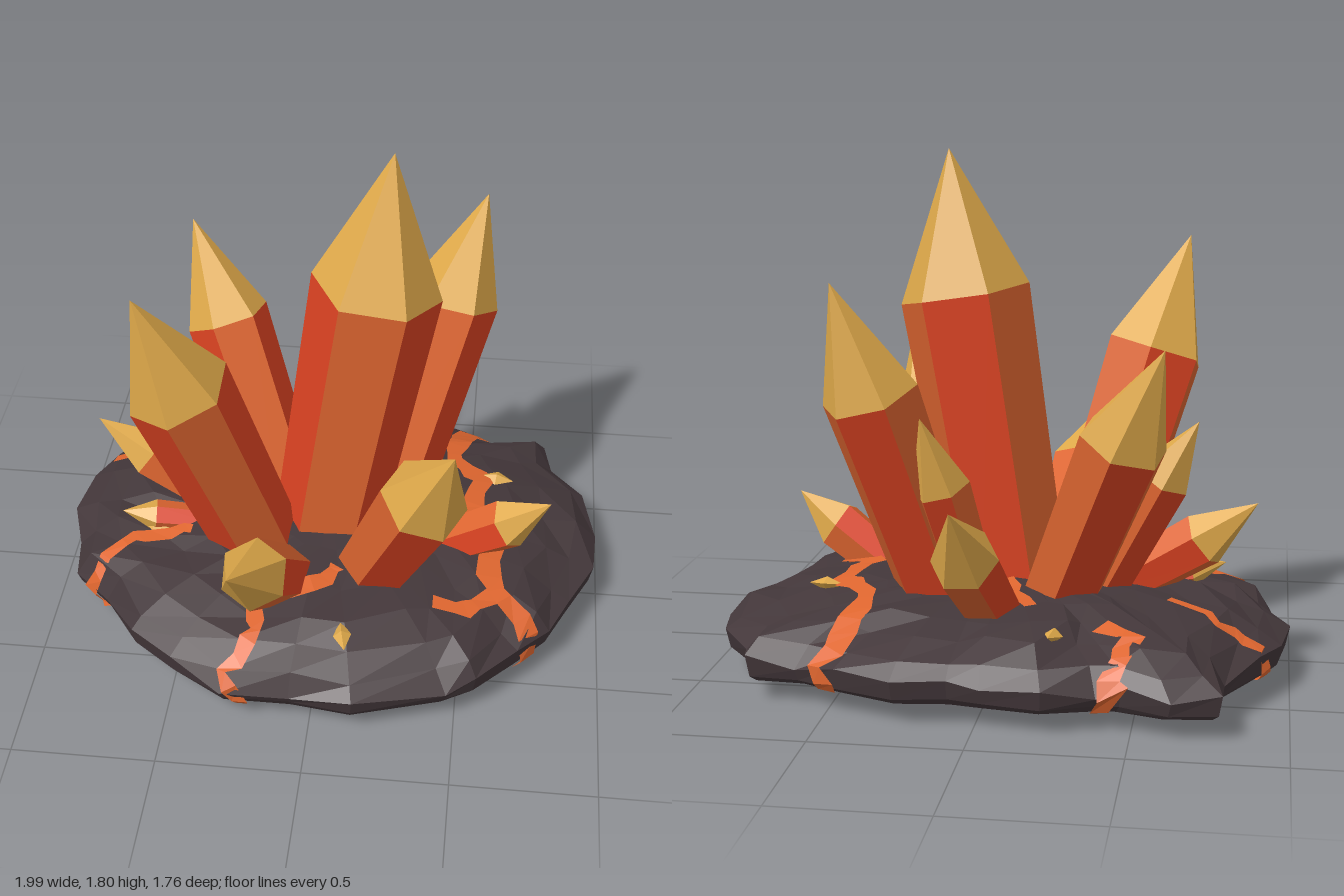
import * as THREE from 'three';

const V = (x, y, z) => new THREE.Vector3(x, y, z);
const mat = (name, color) => {
  const m = new THREE.MeshStandardMaterial({ color });
  m.name = name;
  return m;
};

// Small seeded random in -1..1
let seed = 7;
const rnd = () => {
  seed = (seed * 16807) % 2147483647;
  return (seed / 2147483647) * 2 - 1;
};

// Unshared triangles give faceted normals
function facets(name, points, material) {
  const g = new THREE.BufferGeometry().setFromPoints(points);
  g.computeVertexNormals();
  const mesh = new THREE.Mesh(g, material);
  mesh.name = name;
  return mesh;
}

// Rim of the rock seen from above (x, z)
const RIM = [[-.79, -.83], [-.63, -.85], [-.47, -.8], [-.39, -.81], [-.22, -.86], [-.02, -.83], [.09, -.81],
  [.27, -.83], [.47, -.75], [.62, -.68], [.79, -.67], [.82, -.55], [.94, -.39], [.99, -.17], [.98, .03],
  [.89, .22], [.82, .38], [.71, .5], [.57, .65], [.47, .71], [.15, .81], [-.07, .78], [-.31, .78],
  [-.5, .66], [-.66, .54], [-.79, .35], [-.93, .22], [-.95, .06], [-1, -.1], [-.97, -.31], [-.9, -.45], [-.79, -.66]];
const N = RIM.length;
// Rock rings from the crown to the underside: position, radius, height, roughness
const RINGS = [[0, 0, .335, 0], [.25, .25, .325, .008], [.5, .5, .308, .012], [.68, .68, .285, .014],
  [.82, .82, .25, .016], [.93, .93, .205, .018], [1, 1, .14, .025], [1.06, .985, .09, .008], [1.1, .96, .066, 0]];

const grid = RINGS.map(([, r, y, j]) => RIM.map(([x, z]) => {
  const s = r + (r > .2 && r < .95 ? rnd() * .025 : 0);
  return V(x * s, y + rnd() * j, z * s);
}));

// Point on the rock for a plan position; beyond the rim it wraps down the side
function onRock(x, z) {
  const cross = (p) => p[0] * z - p[1] * x;
  for (let i = 0; i < N; i++) {
    const k = (i + 1) % N, a = cross(RIM[i]), b = cross(RIM[k]);
    if (a < 0 || b >= 0 || RIM[i][0] * x + RIM[i][1] * z < 0) continue;
    const f = a / (a - b);
    const R = Math.hypot(RIM[i][0] * (1 - f) + RIM[k][0] * f, RIM[i][1] * (1 - f) + RIM[k][1] * f);
    const t = Math.min(Math.hypot(x, z) / R, 1.0999);
    const j = RINGS.findIndex((q) => q[0] > t) - 1;
    const h = (t - RINGS[j][0]) / (RINGS[j + 1][0] - RINGS[j][0]);
    const p = grid[j][i].clone().lerp(grid[j][k], f).lerp(grid[j + 1][i].clone().lerp(grid[j + 1][k], f), h);
    const side = THREE.MathUtils.smoothstep(t, .8, 1);
    return p.add(V(x, 0, z).normalize().multiplyScalar(.014 * side)).add(V(0, .012 * (1 - side), 0));
  }
  return V(x, .33, z);
}

// Jagged ribbon along a plan path, laid on a surface
function crack(name, path, width, place, material) {
  const pts = [];
  path.forEach((p, i) => {
    pts.push(p);
    const q = path[i + 1];
    if (!q) return;
    const n = Math.max(2, Math.round(Math.hypot(q[0] - p[0], q[1] - p[1]) / .06));
    for (let k = 1; k < n; k++) {
      const f = k / n;
      pts.push([p[0] + (q[0] - p[0]) * f + rnd() * .022, p[1] + (q[1] - p[1]) * f + rnd() * .022]);
    }
  });
  const sides = pts.map((p, i) => {
    const a = pts[Math.max(i - 1, 0)], b = pts[Math.min(i + 1, pts.length - 1)];
    const dx = b[0] - a[0], dz = b[1] - a[1], l = Math.hypot(dx, dz) || 1;
    const w = width * (.5 + rnd() * .15);
    return [1, -1].map((s) => place(p[0] - dz / l * w * s, p[1] + dx / l * w * s));
  });
  const tri = [];
  for (let i = 0; i + 1 < sides.length; i++) {
    const [a, b] = sides[i], [c, d] = sides[i + 1];
    tri.push(a, c, b, b, c, d);
  }
  return facets(name, tri, material);
}

// Six-sided crystal with alternating face colours and a pointed tip
function crystal(name, base, shoulder, tip, radius, twist, m) {
  const B = V(...base), S = V(...shoulder), T = V(...tip);
  const axis = S.clone().sub(B).normalize();
  B.addScaledVector(axis, -.06);
  const e1 = V(1, 0, 0).addScaledVector(axis, -axis.x).normalize();
  const e2 = axis.clone().cross(e1);
  const ring = (c, r, wob) => Array.from({ length: 6 }, (_, i) => {
    const a = i * Math.PI / 3 + twist;
    return c.clone().addScaledVector(e1, Math.cos(a) * r).addScaledVector(e2, Math.sin(a) * r)
      .addScaledVector(axis, wob * rnd());
  });
  const lo = ring(B, radius * .86, 0), hi = ring(S, radius, radius * .1);
  const faces = [[], []], point = [];
  for (let i = 0; i < 6; i++) {
    const k = (i + 1) % 6;
    faces[i % 2].push(lo[i], lo[k], hi[k], lo[i], hi[k], hi[i]);
    point.push(hi[i], hi[k], T);
  }
  const g = new THREE.Group();
  g.name = name;
  g.add(facets('orangeFaces', faces[0], m.orange), facets('redFaces', faces[1], m.red), facets('goldTip', point, m.gold));
  return g;
}

export function createModel() {
  const m = {
    rock: mat('dark rock', 0x43373a), orange: mat('orange crystal', 0xdd6530),
    red: mat('red crystal', 0xdc4322), gold: mat('gold tip', 0xdfa94a), lava: mat('glowing crack', 0xdf662f),
  };
  m.lava.side = THREE.DoubleSide;
  const model = new THREE.Group();
  model.name = 'crystalCluster';

  // Rock dome with a flat underside
  const rock = [];
  for (let i = 0; i < N; i++) {
    const k = (i + 1) % N;
    for (let j = 0; j + 1 < grid.length; j++) {
      const a = grid[j][i], b = grid[j + 1][i], c = grid[j + 1][k], d = grid[j][k];
      rock.push(a, c, b);
      if (j > 0) rock.push(a, d, c);
    }
    rock.push(grid.at(-1)[i], grid.at(-1)[k], V(0, .066, 0));
  }
  model.add(facets('rockBase', rock, m.rock));

  // Crystals: base, shoulder centre, tip, radius, twist
  [
    ['centralCrystal', [-.02, .22, -.04], [.15, 1.29, -.04], [.2, 1.8, -.07], .23, 0],
    ['frontLeftCrystal', [-.26, .25, .1], [-.49, 1.05, .29], [-.61, 1.47, .39], .185, .5],
    ['backRightCrystal', [.2, .25, -.22], [.4, 1, -.45], [.51, 1.39, -.55], .17, 0],
    ['frontRightCrystal', [.17, .25, .22], [.36, .8, .48], [.46, 1.1, .63], .155, 1.05],
    ['backLeftCrystal', [-.2, .25, -.2], [-.44, .87, -.44], [-.58, 1.2, -.58], .155, .3],
    ['frontCrystal', [-.14, .26, .3], [-.2, .55, .63], [-.25, .74, .88], .125, .5],
    ['backCrystal', [0, .25, -.36], [.05, .52, -.68], [.065, .72, -.88], .115, 1.05],
    ['leftCrystal', [-.35, .25, -.07], [-.69, .46, -.1], [-.88, .6, -.11], .1, 0],
    ['leftUprightCrystal', [-.33, .25, -.12], [-.56, .71, -.25], [-.68, .92, -.31], .1, .5],
    ['rightCrystal', [.42, .25, .06], [.65, .41, .11], [.8, .53, .13], .095, .5],
    ['backSmallCrystal', [.08, .25, -.25], [.17, .7, -.42], [.22, .95, -.54], .1, 0],
    ['leftLowCrystal', [-.45, .27, .04], [-.65, .3, .07], [-.77, .33, .09], .06, .5],
  ].forEach(([name, b, s, t, r, w]) => model.add(crystal(name, b, s, t, r, w, m)));

  // Cracks over the top, running down the side at the rim
  [
    [.075, [[.58, -.82], [.47, -.62], [.44, -.42], [.55, -.24], [.5, -.06], [.62, .12], [.62, .32], [.83, .54]]],
    [.06, [[.62, .34], [.52, .43], [.4, .42]]],
    [.07, [[-.48, -.94], [-.42, -.78], [-.49, -.64], [-.38, -.58]]],
    [.055, [[-1.06, -.44], [-.9, -.4], [-.75, -.4], [-.6, -.3]]],
    [.05, [[-.95, .34], [-.82, .28], [-.72, .16], [-.5, .14]]],
    [.05, [[-.27, .88], [-.3, .72], [-.2, .6], [-.22, .48], [.02, .38], [.05, .3]]],
    [.06, [[-.14, -.47], [-.06, -.36], [-.02, -.24]]],
  ].forEach(([w, path], i) => model.add(crack('topCrack' + (i + 1), path, w, onRock, m.lava)));

  // Cracks across the underside
  const below = (x, z) => V(x, .061, z);
  [
    [[.28, -.36], [.36, -.5], [.46, -.58], [.52, -.69]],
    [[.36, .2], [.5, .26], [.58, .4], [.7, .45]],
    [[-.22, -.38], [-.3, -.55], [-.34, -.66], [-.4, -.76]],
    [[-.4, -.15], [-.58, -.25], [-.7, -.24], [-.9, -.37]],
    [[-.38, .14], [-.55, .14], [-.66, .26], [-.82, .3]],
    [[-.12, .32], [-.2, .48], [-.16, .6], [-.26, .73]],
    [[-.3, -.55], [-.5, -.5], [-.58, -.25]],
    [[.36, -.5], [.56, -.36], [.72, -.34]],
  ].forEach((path, i) => model.add(crack('undersideCrack' + (i + 1), path, .05, below, m.lava)));

  // Jagged ring of shards under the rock
  const n = 22, shards = [[], []];
  const loops = Array.from({ length: n }, (_, i) => {
    const a = i / n * Math.PI * 2;
    return [[.33, .07], [.385 + rnd() * .03, .026 + rnd() * .026], [.45 + rnd() * .03, .07]]
      .map(([r, y]) => V(Math.cos(a) * r, y, Math.sin(a) * r * .95 - .05));
  });
  loops.forEach((p, i) => {
    const q = loops[(i + 1) % n];
    for (let j = 0; j < 2; j++) {
      shards[(i + j) % 2].push(p[j], p[j + 1], q[j + 1], p[j], q[j + 1], q[j]);
    }
  });
  const ring = new THREE.Group();
  ring.name = 'undersideRing';
  ring.add(facets('orangeShards', shards[0], m.lava), facets('redShards', shards[1], m.red));
  model.add(ring);

  // Loose gold chips on the rock
  [[.1, .61, .2], [-.24, -.66, -.2], [.6, -.28, 1.4], [-.66, .1, 1.2]].forEach(([x, z, turn]) => {
    const chip = new THREE.Mesh(new THREE.OctahedronGeometry(1), m.gold);
    chip.name = 'goldChip';
    chip.scale.set(.032, .025, .065);
    chip.rotation.set(.15, turn, .1);
    chip.position.copy(onRock(x, z));
    model.add(chip);
  });
  return model;
}
